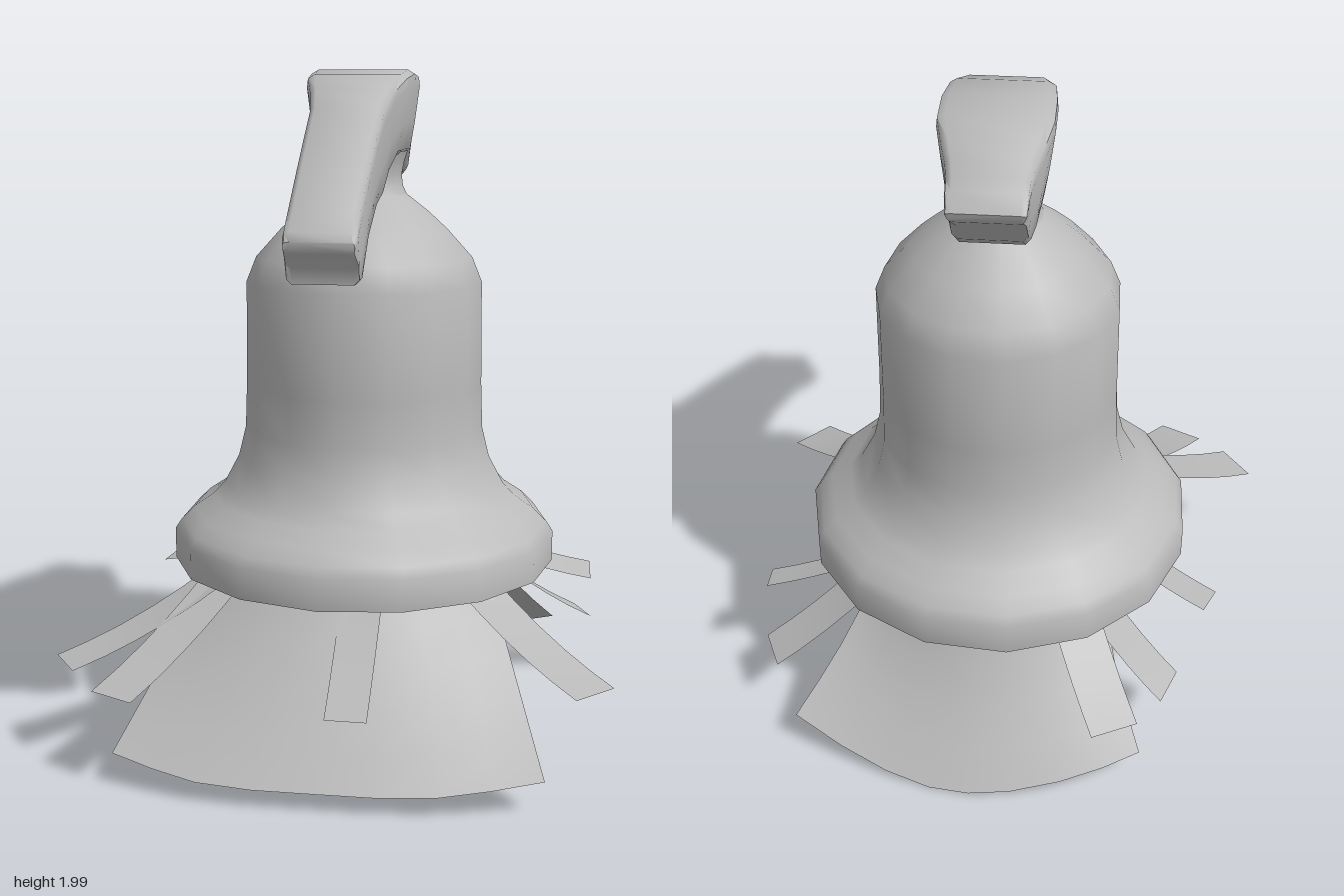
import * as THREE from 'three';
import { toCreasedNormals } from 'three/addons/utils/BufferGeometryUtils.js';

const grey = new THREE.MeshStandardMaterial({ color: 0xbababa, side: THREE.DoubleSide });
grey.name = 'plain grey';

const CX = 0.02, CZ = -0.075; // axis of the bell

function part(name, geometry, crease = 0.75) {
  const mesh = new THREE.Mesh(toCreasedNormals(geometry, crease), grey);
  mesh.name = name;
  return mesh;
}

// Turned part around the bell axis, profile as [radius, height]
function turned(name, profile, segments = 15) {
  const pts = profile.map(([r, y]) => new THREE.Vector2(r, y));
  const mesh = part(name, new THREE.LatheGeometry(pts, segments, THREE.MathUtils.degToRad(187)));
  mesh.position.set(CX, 0, CZ);
  return mesh;
}

// Open sheet: at(u, v) gives a point, u across and v downward
function sheet(name, nu, nv, at) {
  const g = new THREE.PlaneGeometry(1, 1, nu, nv);
  const p = g.attributes.position;
  for (let i = 0; i < p.count; i++) {
    const q = at(p.getX(i) + 0.5, 0.5 - p.getY(i));
    p.setXYZ(i, q.x, q.y, q.z);
  }
  return part(name, g);
}

// Flap: arc under the rim fanned out to a lower edge through the given points
function flap(name, radius, from, to, lower, sag) {
  const edge = new THREE.CatmullRomCurve3(lower.map(p => new THREE.Vector3(...p)));
  return sheet(name, 8, 5, (u, v) => {
    const a = THREE.MathUtils.degToRad(from + (to - from) * u);
    const top = new THREE.Vector3(CX + radius * Math.sin(a), 0.53, CZ + radius * Math.cos(a));
    const q = top.lerp(edge.getPoint(u), v);
    const bow = sag * Math.sin(Math.PI * v);
    q.x -= Math.sin(a) * bow;
    q.z -= Math.cos(a) * bow;
    return q;
  });
}

// Strip: narrow ribbon that hangs steeply, then flares out to its tip; roll lifts one edge
function strip(start, tip, width, sag = 0.04, roll = 0) {
  const a = new THREE.Vector3(...start), b = new THREE.Vector3(...tip);
  const mid = a.clone().lerp(b, 0.5);
  mid.y -= sag;
  const curve = new THREE.QuadraticBezierCurve3(a, mid, b);
  const along = b.clone().sub(a).normalize();
  const side = new THREE.Vector3(a.z - b.z, 0, b.x - a.x).normalize().applyAxisAngle(along, roll);
  return sheet('strip', 1, 5, (u, v) => curve.getPoint(v).addScaledVector(side, (u - 0.5) * width));
}

// Crest: rounded wedge sections lofted from the front tip to the back
function crest() {
  const stations = [ // zTop, yTop, zBottom, yBottom, half width, taper towards the bottom
    [0.72, 1.56, 0.715, 1.53, 0.095, 0], [0.70, 1.585, 0.66, 1.485, 0.1, 0],
    [0.67, 1.615, 0.655, 1.442, 0.1, 0], [0.64, 1.64, 0.60, 1.44, 0.1, 0],
    [0.50, 1.735, 0.47, 1.54, 0.103, 0.05], [0.36, 1.825, 0.30, 1.61, 0.107, 0.1],
    [0.24, 1.895, 0.16, 1.63, 0.112, 0.15], [0.15, 1.945, 0.09, 1.69, 0.128, 0.2],
    [0.04, 1.985, 0.05, 1.745, 0.155, 0.2], [-0.08, 2.0, -0.06, 1.745, 0.165, 0.2],
    [-0.19, 1.99, -0.18, 1.74, 0.165, 0.2], [-0.28, 1.965, -0.27, 1.685, 0.145, 0.2],
    [-0.35, 1.94, -0.31, 1.67, 0.125, 0.15], [-0.41, 1.92, -0.37, 1.715, 0.115, 0.1],
    [-0.455, 1.905, -0.42, 1.785, 0.112, 0.1], [-0.49, 1.86, -0.48, 1.83, 0.107, 0.1]
  ];
  const section = [[-0.82, 0], [0.82, 0], [0.96, 0.05], [1, 0.16], [1, 0.6], [0.98, 0.92],
    [0.84, 1], [-0.84, 1], [-0.98, 0.92], [-1, 0.6], [-1, 0.16], [-0.96, 0.05]];
  const n = section.length, pos = [], idx = [];
  for (const [zt, yt, zb, yb, w, taper] of stations) {
    for (const [s, t] of section) {
      pos.push(0.015 + s * w * (1 - taper * t), yt + (yb - yt) * t, zt + (zb - zt) * t);
    }
  }
  for (let i = 0; i < stations.length - 1; i++) {
    for (let j = 0; j < n; j++) {
      const a = i * n + j, b = i * n + (j + 1) % n;
      idx.push(a, b, a + n, b, b + n, a + n);
    }
  }
  const last = (stations.length - 1) * n;
  for (let j = 1; j < n - 1; j++) {
    idx.push(0, j + 1, j, last, last + j, last + j + 1);
  }
  const g = new THREE.BufferGeometry();
  g.setAttribute('position', new THREE.Float32BufferAttribute(pos, 3));
  g.setIndex(idx);
  return part('crest', g, 0.9);
}

export function createModel() {
  const model = new THREE.Group();
  model.name = 'crestedBell';

  // Hollow bell with a thick rim, domed top and neck
  model.add(turned('bell', [
    [0.345, 1.36], [0.345, 0.95], [0.365, 0.82], [0.42, 0.71], [0.5, 0.62], [0.525, 0.49],
    [0.595, 0.49], [0.595, 0.585], [0.575, 0.615], [0.535, 0.655], [0.475, 0.695], [0.437, 0.735],
    [0.392, 0.82], [0.37, 0.91], [0.365, 1.05], [0.362, 1.365],
    [0.332, 1.44], [0.255, 1.525], [0.195, 1.58], [0.13, 1.63]
  ]));
  model.add(turned('neck', [
    [0.13, 1.63], [0.118, 1.655], [0.114, 1.69], [0.122, 1.73], [0.132, 1.76]
  ]));
  model.add(crest());

  // Front and back flaps
  model.add(flap('frontFlap', 0.48, -58, 58, [
    [-0.59, 0.1, 0.69], [-0.33, 0.065, 0.77], [0, 0.06, 0.785], [0.34, 0.065, 0.77], [0.63, 0.1, 0.7]
  ], 0));
  model.add(flap('backFlap', 0.4, 238, 122, [
    [-0.46, 0.1, -0.67], [-0.28, 0.06, -0.745], [-0.04, 0.015, -0.79],
    [0.15, 0.005, -0.785], [0.37, 0.04, -0.725], [0.61, 0.12, -0.625]
  ], 0.03));

  // Loose strips around the rim: start, tip, width, sag, roll
  const strips = [
    [[0.4, 0.5, 0.22], [0.76, 0.305, 0.56], 0.15],
    [[-0.38, 0.5, 0.25], [-0.775, 0.3, 0.53], 0.15],
    [[-0.34, 0.52, 0.25], [-0.58, 0.28, 0.72], 0.15],
    [[0.085, 0.5, 0.42], [0.08, 0.24, 0.7], 0.12, 0.02],
    [[0.34, 0.5, -0.27], [0.715, 0.21, -0.44], 0.14],
    [[0.38, 0.5, -0.26], [0.735, 0.395, -0.305], 0.11, 0.02, 0.25],
    [[-0.38, 0.5, -0.17], [-0.66, 0.395, -0.295], 0.12, 0.02, -0.2],
    [[-0.27, 0.5, -0.36], [-0.545, 0.18, -0.465], 0.14],
    [[-0.22, 0.5, -0.4], [-0.38, 0.25, -0.725], 0.15],
    [[0.17, 0.5, -0.26], [0.27, 0.08, -0.58], 0.12, 0.03, -0.8]
  ];
  const group = new THREE.Group();
  group.name = 'strips';
  for (const s of strips) group.add(strip(...s));
  model.add(group);
  return model;
}
